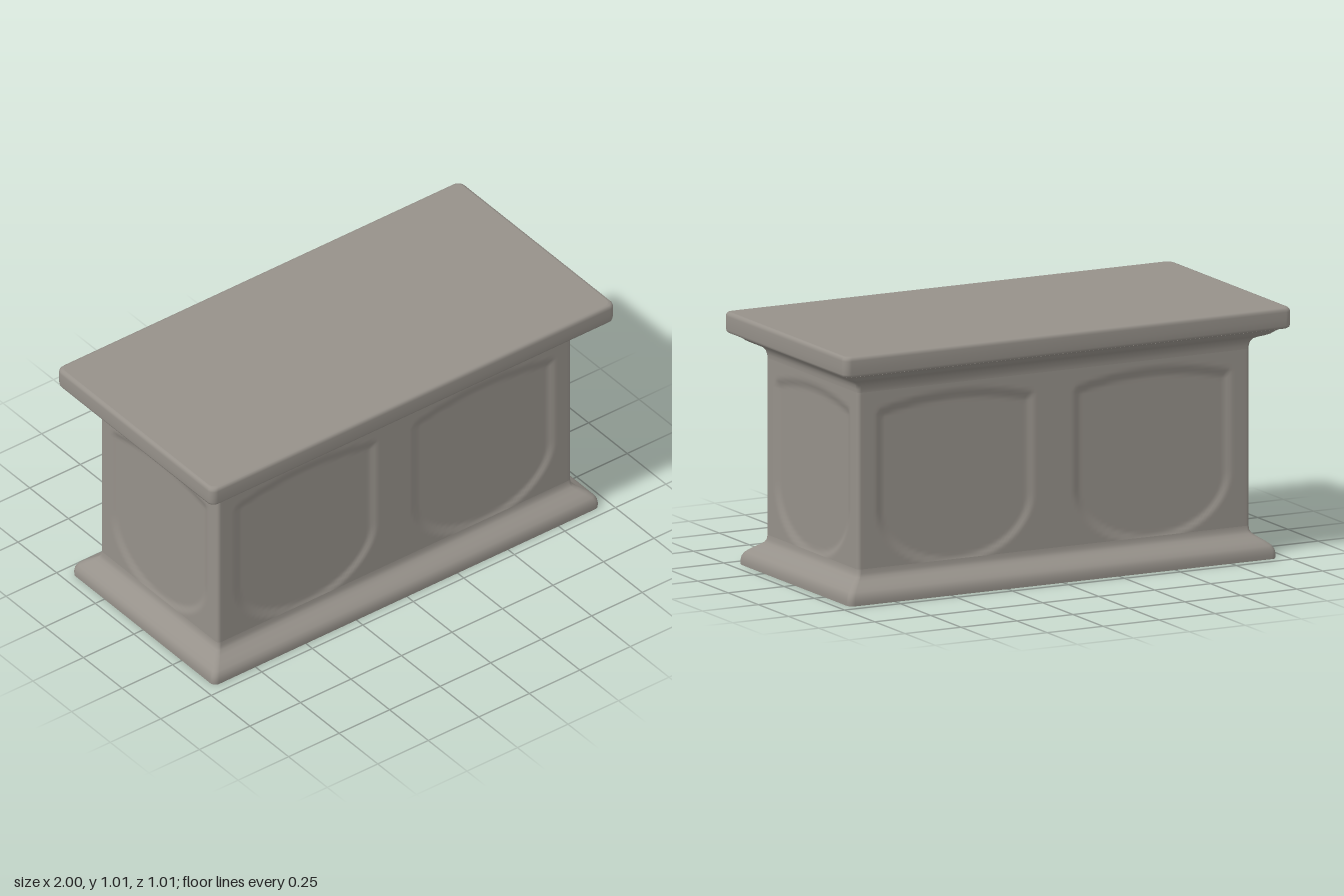
import * as THREE from 'three';

const HX = 0.875, HZ = 0.38; // half width and half depth of the walls

// Rounded rectangle, grown outward by o; straight sides split into the given steps
function ring(o, stepsX, stepsZ) {
  const r = 0.015 + Math.max(o, 0) * 0.12, cx = HX + o - r, cz = HZ + o - r;
  const corners = [[1, 1], [-1, 1], [-1, -1], [1, -1]];
  const points = [];
  corners.forEach(([sx, sz], k) => {
    for (let i = 0; i <= 6; i++) {
      const t = (k + i / 6) * Math.PI / 2;
      points.push([sx * cx + r * Math.cos(t), sz * cz + r * Math.sin(t)]);
    }
    const [ex, ez] = corners[(k + 1) % 4];
    const t = (k + 1) * Math.PI / 2, nx = Math.cos(t), nz = Math.sin(t);
    const n = k % 2 ? stepsZ : stepsX;
    for (let i = 1; i < n; i++) {
      const f = i / n;
      points.push([(sx + (ex - sx) * f) * cx + r * nx, (sz + (ez - sz) * f) * cz + r * nz]);
    }
  });
  return points;
}

// Sweep a profile of [outward offset, height] around the rectangle
function sweep(profile, stepsX = 1, stepsZ = 1, shapeWall = null) {
  const pos = [], index = [];
  let n = 0;
  profile.forEach(([o, y]) => {
    const pts = ring(o, stepsX, stepsZ);
    n = pts.length;
    for (const [x, z] of pts) pos.push(...(shapeWall ? shapeWall(x, y, z) : [x, y, z]));
  });
  for (let j = 0; j < profile.length - 1; j++) {
    for (let i = 0; i < n; i++) {
      const a = j * n + i, b = j * n + (i + 1) % n;
      index.push(a, a + n, b, b, a + n, b + n);
    }
  }
  const g = new THREE.BufferGeometry();
  g.setAttribute('position', new THREE.Float32BufferAttribute(pos, 3));
  g.setIndex(index);
  g.computeVertexNormals();
  return g;
}

// Recess depth of a panel with an arched top and a round bottom
function recess(u, y, half) {
  const yc = 0.36, h = 0.25;
  const side = y < yc ? (1 - Math.hypot(u / half, (yc - y) / h)) * half : half - Math.abs(u);
  const top = 0.81 - 0.045 * (u / half) ** 2 - y;
  return 0.011 * THREE.MathUtils.smoothstep(Math.min(side, top), 0, 0.035);
}

// Two panels on the long walls, one on each end
function panelWall(x, y, z) {
  if (Math.abs(z) > HZ - 1e-5) return [x, y, z - Math.sign(z) * recess(Math.abs(x) - 0.44, y, 0.355)];
  if (Math.abs(x) > HX - 1e-5) return [x - Math.sign(x) * recess(z, y, 0.315), y, z];
  return [x, y, z];
}

export function createModel() {
  const group = new THREE.Group();
  const stone = new THREE.MeshStandardMaterial({ color: 0x96918a, side: THREE.DoubleSide });
  stone.name = 'warm grey stone';
  const add = (name, geometry) => {
    const mesh = new THREE.Mesh(geometry, stone);
    mesh.name = name;
    group.add(mesh);
    return mesh;
  };

  // Flared foot, open underneath
  add('baseMoulding', sweep([
    [0.08, 0.004], [0.081, 0.02], [0.078, 0.04], [0.068, 0.056], [0.048, 0.072],
    [0.024, 0.088], [0.009, 0.1], [0.002, 0.113], [0, 0.13],
  ]));

  // Hollow body with recessed panels
  const rows = 48, wall = [];
  for (let i = 0; i <= rows; i++) wall.push([0, 0.1 + 0.74 * i / rows]);
  wall[0][1] = 0.105;
  add('panelledWalls', sweep(wall, 140, 60, panelWall));

  // Cove below the slab
  add('coveMoulding', sweep([
    [0, 0.84], [0.001, 0.855], [0.005, 0.87], [0.014, 0.883], [0.03, 0.892], [0.052, 0.9],
    [0.068, 0.908], [0.082, 0.92], [0.096, 0.929], [0.114, 0.933],
  ]));

  // Top slab with softened edges
  add('slabEdge', sweep([
    [0.108, 0.933], [0.117, 0.934], [0.122, 0.938], [0.124, 0.946],
    [0.125, 0.97], [0.125, 1.0], [0.123, 1.009], [0.118, 1.015], [0.11, 1.017],
  ]));

  const outline = new THREE.Shape(ring(0.11, 1, 1).map(([x, z]) => new THREE.Vector2(x, z)));
  const top = add('slabTop', new THREE.ShapeGeometry(outline));
  top.rotation.x = -Math.PI / 2;
  top.position.y = 1.017;

  return group;
}
